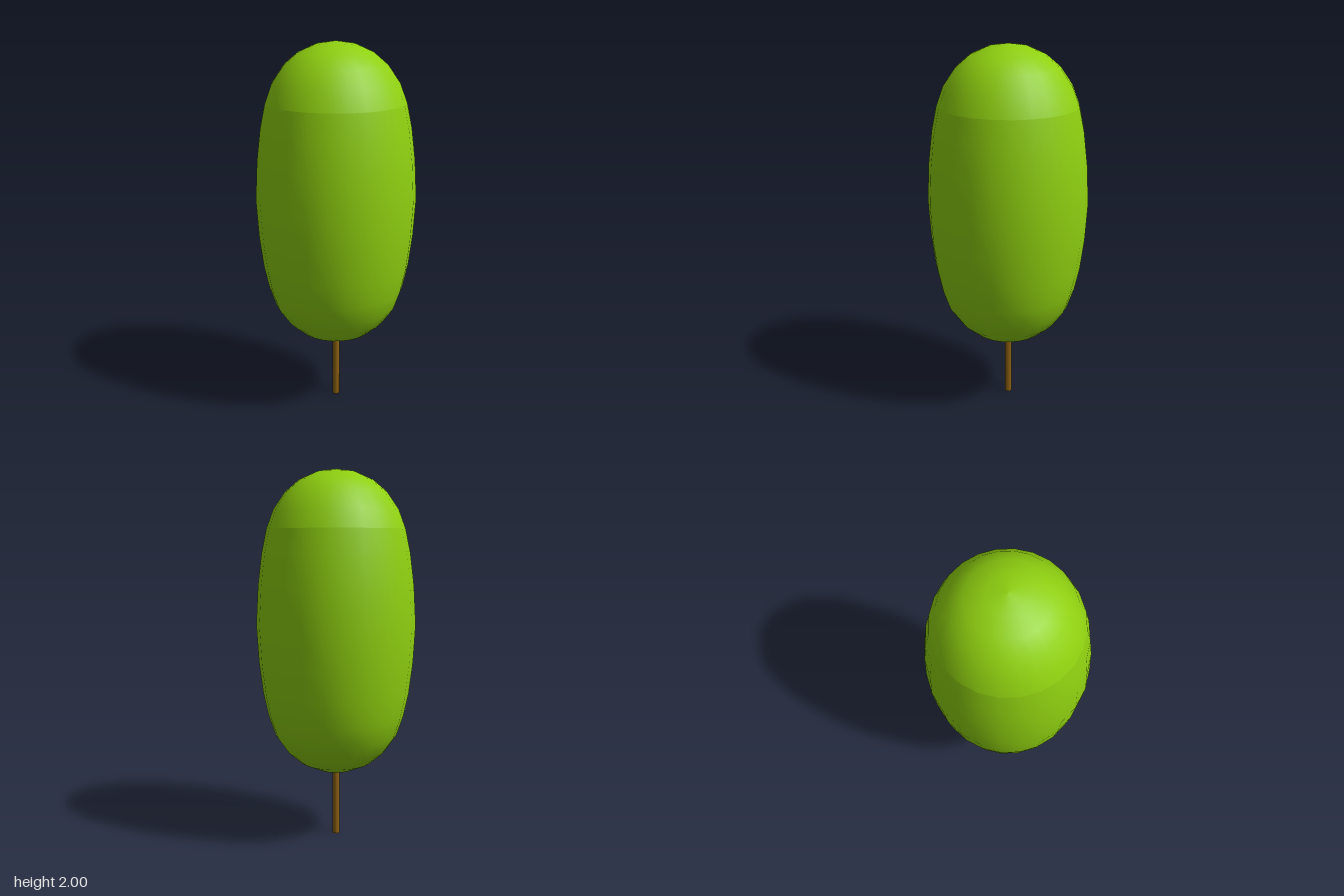
import * as THREE from 'three';

const SIDES = 24;

function lathe(name, profile, material) {
  const points = profile.map(([r, y]) => new THREE.Vector2(r, y));
  const mesh = new THREE.Mesh(new THREE.LatheGeometry(points, SIDES), material);
  mesh.name = name;
  return mesh;
}

export function createModel() {
  const tree = new THREE.Group();
  tree.name = 'tree';
  const leaf = new THREE.MeshStandardMaterial({ color: 0x8fd010 });
  const bark = new THREE.MeshStandardMaterial({ color: 0x8a6010 });

  // Tall rounded foliage, from the underside up to the shoulder
  tree.add(lathe('foliageBody', [
    [0, 0.363], [0.1, 0.375], [0.196, 0.418], [0.27, 0.481], [0.333, 0.571],
    [0.37, 0.68], [0.397, 0.805], [0.418, 0.975], [0.43, 1.18],
    [0.418, 1.39], [0.397, 1.56], [0.37, 1.688],
  ], leaf));

  // Domed top, with a faint crease where it meets the body
  tree.add(lathe('foliageTop', [
    [0.37, 1.688], [0.333, 1.788], [0.27, 1.88], [0.196, 1.943], [0.1, 1.986], [0, 2],
  ], leaf));

  // Thin trunk, reaching a little way into the foliage
  const trunk = new THREE.Mesh(new THREE.CylinderGeometry(0.02, 0.02, 0.42, 12), bark);
  trunk.name = 'trunk';
  trunk.position.y = 0.21;
  tree.add(trunk);

  return tree;
}
